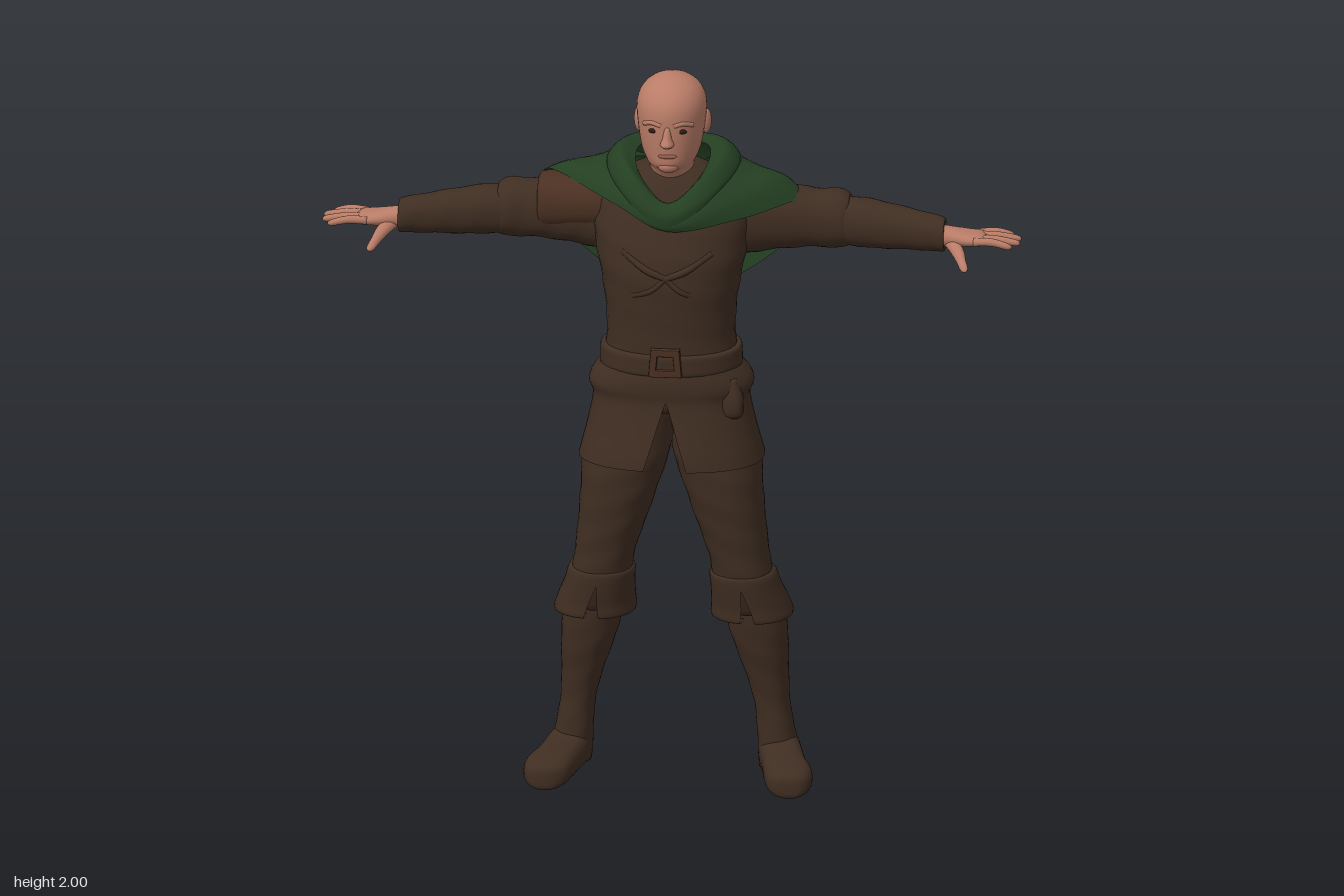
import * as THREE from 'three';
import { mergeVertices } from 'three/addons/utils/BufferGeometryUtils.js';

const mat = (name, color, side = THREE.FrontSide) => {
  const m = new THREE.MeshStandardMaterial({ color, side });
  m.name = name;
  return m;
};
const brown = mat('brown cloth', 0x402e22);
const brownOpen = mat('brown open cloth', 0x402e22, THREE.DoubleSide);
const leather = mat('russet leather', 0x4a3022);
const green = mat('green wool', 0x243f22, THREE.DoubleSide);
const skin = mat('skin', 0xb97c67);
const lipTone = mat('lips', 0x99604f);
const dark = mat('dark eye', 0x2a1d18);

// Catmull-Rom refinement of a list of equal-length number rows
function refine(rows, sub = 4) {
  const out = [], at = i => rows[Math.min(Math.max(i, 0), rows.length - 1)];
  for (let i = 0; i < rows.length - 1; i++) for (let k = 0; k < sub; k++) {
    const t = k / sub;
    out.push(rows[i].map((p1, c) => {
      const p0 = at(i - 1)[c], p2 = at(i + 1)[c], p3 = at(i + 2)[c];
      return p1 + 0.5 * t * (p2 - p0 + t * (2 * p0 - 5 * p1 + 4 * p2 - p3 + t * (3 * (p1 - p2) + p3 - p0)));
    }));
  }
  out.push(at(rows.length - 1));
  return out;
}

// Smooth skin over a grid of points, turned to face outward
function skinGrid(grid, caps) {
  const n = grid[0].length, pos = grid.flat(2), tris = [];
  for (let i = 0; i < grid.length - 1; i++) for (let j = 0; j < n - 1; j++) {
    const a = i * n + j, b = a + n;
    tris.push([a, b, a + 1], [a + 1, b, b + 1]);
  }
  if (caps) [0, grid.length - 1].forEach(r => {
    const c = [0, 1, 2].map(k => grid[r].slice(1).reduce((s, p) => s + p[k], 0) / (n - 1));
    const ci = pos.length / 3;
    pos.push(...c);
    for (let j = 0; j < n - 1; j++) {
      const a = r * n + j;
      tris.push(r ? [a, ci, a + 1] : [a, a + 1, ci]);
    }
  });
  const P = i => new THREE.Vector3(pos[3 * i], pos[3 * i + 1] - 1, pos[3 * i + 2]);
  const vol = tris.reduce((s, [a, b, c]) => s + P(a).dot(P(b).cross(P(c))), 0);
  if (vol < 0) tris.forEach(t => t.reverse());
  let g = new THREE.BufferGeometry();
  g.setAttribute('position', new THREE.Float32BufferAttribute(pos, 3));
  g.setIndex(tris.flat());
  g = mergeVertices(g, 1e-5);
  g.computeVertexNormals();
  return g;
}

// Rows [t, centreA, centreB, radiusA, radiusB] along an axis; gap opens a slit at the front
function loft(rows, { axis = 'y', s = 1, n = 36, pow = 2.2, wrinkle = 0, gap = () => 0, caps = true } = {}) {
  const se = v => Math.sign(v) * Math.abs(v) ** (2 / pow);
  return skinGrid(refine(rows).map(([t, a, b, ra, rb]) => {
    const g = gap(t);
    return Array.from({ length: n + 1 }, (_, j) => {
      const th = Math.PI / 2 + g + (j / n) * (2 * Math.PI - 2 * g);
      const w = 1 + wrinkle * Math.sin(t * 70 + 2 * Math.sin(th) + 3 * Math.cos(th));
      const u = a + ra * w * se(Math.cos(th)), v = b + rb * w * se(Math.sin(th));
      const p = axis === 'y' ? [u, t, v] : axis === 'x' ? [t, u, v] : [u, v, t];
      return [p[0] * s, Math.max(0, p[1]), p[2]];
    });
  }), caps);
}

// Cloth through closed rings of points, from the neck outward
function drape(rings) {
  const curves = rings.map(r => new THREE.CatmullRomCurve3(r.map(p => new THREE.Vector3(...p)), true)
    .getPoints(64).map(p => p.toArray()).flat());
  return skinGrid(refine(curves, 5).map(f => Array.from({ length: 65 }, (_, i) => f.slice(3 * i, 3 * i + 3))), false);
}
// Completes a half ring (front to back on the left) with its right half
const mirrorRing = h => [...h, ...h.slice(1, -1).reverse().map(([x, y, z]) => [-x, y, z])];

export function createModel() {
  const model = new THREE.Group();
  const add = (name, geo, m, parent = model) => {
    const mesh = new THREE.Mesh(geo, m);
    mesh.name = name;
    parent.add(mesh);
    return mesh;
  };
  const ball = (name, m, p, r, parent = model) => {
    const b = add(name, new THREE.SphereGeometry(1, 16, 12), m, parent);
    b.position.set(...p);
    b.scale.set(...r);
    return b;
  };
  const tube = (name, m, pts, r, parent = model) => add(name, new THREE.TubeGeometry(
    new THREE.CatmullRomCurve3(pts.map(p => new THREE.Vector3(...p))), 12, r, 8), m, parent);

  // Head and face
  const head = new THREE.Group();
  head.name = 'head';
  model.add(head);
  add('skull', loft([[1.62, 0, .025, .062, .07], [1.7, 0, .022, .06, .068], [1.745, 0, .035, .06, .082],
    [1.765, 0, .045, .066, .1], [1.8, 0, .045, .08, .105], [1.86, 0, .042, .09, .112], [1.92, 0, .038, .094, .113],
    [1.96, 0, .036, .08, .093], [1.985, 0, .034, .053, .06], [1.997, 0, .034, .022, .025], [2, 0, .034, .002, .002]],
  { pow: 2 }), skin, head);
  add('nose', loft([[1.822, 0, .15, .008, .012], [1.832, 0, .155, .019, .024], [1.85, 0, .15, .013, .02],
    [1.88, 0, .142, .009, .014]], { n: 16, pow: 2 }), skin, head);
  ball('chin', skin, [0, 1.765, .125], [.03, .02, .024], head);
  ball('lips', lipTone, [0, 1.797, .146], [.026, .007, .007], head);
  for (const s of [1, -1]) {
    ball('eye', dark, [s * .038, 1.867, .141], [.014, .007, .006], head);
    tube('brow', skin, [[s * .016, 1.884, .15], [s * .04, 1.889, .141], [s * .065, 1.881, .12]], .007, head);
    ball('ear', skin, [s * .092, 1.86, .02], [.012, .034, .02], head).rotation.y = s * -.3;
  }

  // Tunic body
  add('tunic', loft([[1.08, 0, .045, .19, .135], [1.2, 0, .05, .18, .133], [1.3, 0, .05, .173, .136],
    [1.4, 0, .047, .182, .148], [1.47, 0, .043, .195, .153], [1.54, 0, .033, .208, .15], [1.61, 0, .02, .212, .14],
    [1.67, 0, .01, .2, .12], [1.72, 0, .01, .12, .09], [1.74, 0, .01, .07, .07]], { wrinkle: .008 }), brown);
  for (const s of [1, -1]) {
    tube('chestFold', brown, [[0, 1.465, .19], [s * .05, 1.485, .19], [s * .12, 1.53, .155]], .01);
    tube('chestFold', brown, [[0, 1.465, .19], [s * .04, 1.43, .19], [s * .09, 1.41, .173]], .009);
  }
  // Skirt of the tunic, slit at the front
  add('tunicSkirt', loft([[1.2, 0, .05, .183, .137], [1.165, 0, .045, .212, .148], [1.135, 0, .043, .222, .15],
    [1.1, 0, .042, .211, .148], [1.02, 0, .04, .226, .164], [.96, 0, .038, .241, .178], [.925, 0, .035, .25, .185]],
  { caps: false, pow: 2.4, n: 56, gap: t => Math.max(0, 1.11 - t) * .95 }), brownOpen);

  // Belt, buckle and pouches
  add('belt', loft([[1.185, 0, .05, .182, .136], [1.19, 0, .05, .192, .145], [1.215, 0, .05, .192, .146],
    [1.24, 0, .05, .19, .145], [1.245, 0, .05, .178, .135]], {}), brown);
  const frame = new THREE.Shape([[-.042, -.036], [.042, -.036], [.036, .036], [-.036, .036]].map(p => new THREE.Vector2(...p)));
  frame.holes.push(new THREE.Path([[-.028, -.022], [-.024, .022], [.024, .022], [.028, -.022]].map(p => new THREE.Vector2(...p))));
  add('buckle', new THREE.ExtrudeGeometry(frame, { depth: .014, bevelSize: .003, bevelThickness: .003, bevelSegments: 2 }), leather)
    .position.set(0, 1.228, .19);
  add('beltPouch', loft([[1.06, .17, .125, .025, .022], [1.075, .17, .125, .034, .034], [1.12, .168, .125, .034, .034],
    [1.17, .16, .12, .025, .025]], { n: 20, pow: 3 }), brown);

  for (const s of [1, -1]) {
    const side = s > 0 ? 'left' : 'right';
    // Arm: sleeve, bracer, hand
    const arm = new THREE.Group();
    arm.name = side + 'Arm';
    model.add(arm);
    add('upperSleeve', loft([[.08, 1.57, -.01, .09, .09], [.18, 1.58, -.02, .1, .095], [.28, 1.583, -.028, .09, .08],
      [.38, 1.582, -.03, .08, .067], [.45, 1.582, -.027, .08, .066], [.475, 1.58, -.025, .07, .057]],
    { axis: 'x', s, wrinkle: .02 }), brown, arm);
    add('forearmSleeve', loft([[.44, 1.58, -.025, .066, .057], [.53, 1.576, -.012, .066, .06], [.62, 1.572, .005, .058, .053],
      [.7, 1.568, .022, .05, .046], [.735, 1.565, .03, .046, .043], [.737, 1.565, .03, .034, .034]],
    { axis: 'x', s, wrinkle: .018 }), brown, arm);
    add('palm', loft([[.71, 1.565, .032, .03, .032], [.75, 1.564, .036, .026, .036], [.8, 1.562, .038, .02, .047],
      [.835, 1.561, .038, .016, .049], [.85, 1.56, .038, .01, .045]], { axis: 'x', s, n: 24 }), skin, arm);
    [[-.004, -.018, .92], [.024, .016, .943], [.052, .055, .943], [.077, .09, .925]].forEach(([z0, z1, tip], i) =>
      add('finger', loft([[.82, 1.562, z0, .011, .011], [.87, 1.565, z0 + (z1 - z0) * .5, .011, .011],
        [tip - .012, 1.557, z1, .009, .009], [tip, 1.555, z1, .002, .002]], { axis: 'x', s, n: 12, pow: 2 }), skin, arm));
    add('thumb', loft([[.045, .75, 1.555, .02, .018], [.085, .775, 1.54, .019, .016], [.125, .792, 1.522, .013, .013],
      [.15, .802, 1.51, .011, .01], [.16, .805, 1.506, .003, .003]], { axis: 'z', s, n: 14, pow: 2 }), skin, arm);

    // Leg: trousers, boot cuff, boot and foot
    const leg = new THREE.Group();
    leg.name = side + 'Leg';
    model.add(leg);
    add('trouserLeg', loft([[1.09, .1, .04, .095, .11], [.95, .12, .035, .118, .116], [.85, .138, .035, .107, .115],
      [.75, .158, .032, .094, .106], [.65, .18, .028, .082, .096], [.57, .193, .022, .08, .092], [.48, .21, 0, .075, .08]],
    { s, wrinkle: .012 }), brown, leg);
    add('bootCuff', loft([[.6, .19, .024, .078, .09], [.59, .191, .022, .09, .1], [.55, .198, .012, .095, .106],
      [.5, .208, -.006, .105, .116], [.465, .212, -.013, .11, .12], [.47, .212, -.015, .085, .09]],
    { s, caps: false, gap: t => Math.max(0, .56 - t) * 1.6 }), brownOpen, leg);
    add('boot', loft([[.52, .213, -.015, .075, .085], [.43, .224, -.03, .079, .088], [.36, .236, -.036, .071, .08],
      [.28, .25, -.043, .057, .068], [.2, .262, -.048, .048, .062], [.13, .271, -.05, .05, .064],
      [.06, .28, -.052, .056, .064], [.02, .282, -.052, .056, .062]], { s, wrinkle: .01 }), brown, leg);
    add('foot', loft([[-.117, .28, .04, .03, .035], [-.1, .28, .05, .05, .05], [-.03, .286, .056, .058, .056],
      [.04, .303, .048, .06, .048], [.11, .322, .043, .066, .043], [.16, .328, .038, .058, .038],
      [.184, .33, .033, .036, .031], [.19, .33, .03, .012, .014]], { axis: 'z', s, pow: 2.7 }), brown, leg);
  }

  // Bare shoulder piece on the right, where the cape is thrown back
  add('rightShoulderCap', loft([[.12, 1.63, -.005, .085, .1], [.2, 1.622, -.012, .08, .095], [.28, 1.614, -.018, .076, .085],
    [.35, 1.61, -.02, .076, .074], [.365, 1.61, -.02, .066, .06]], { axis: 'x', s: -1 }), leather);

  // Cape: front, front left, left, back left, back, back right, right, front right
  add('cape', drape([
    [[0, 1.66, .13], [.09, 1.72, .1], [.13, 1.76, .01], [.1, 1.77, -.09], [0, 1.77, -.12], [-.1, 1.77, -.09], [-.13, 1.76, .01], [-.09, 1.72, .1]],
    [[0, 1.63, .175], [.13, 1.69, .12], [.21, 1.725, -.01], [.16, 1.7, -.14], [0, 1.65, -.17], [-.16, 1.7, -.14], [-.21, 1.73, -.04], [-.12, 1.69, .12]],
    [[0, 1.61, .185], [.17, 1.66, .125], [.3, 1.7, -.02], [.25, 1.6, -.145], [0, 1.48, -.165], [-.25, 1.6, -.145], [-.3, 1.705, -.065], [-.14, 1.675, .125]],
    [[0, 1.595, .18], [.2, 1.62, .12], [.365, 1.635, -.02], [.275, 1.46, -.125], [0, 1.31, -.155], [-.275, 1.46, -.125], [-.36, 1.67, -.085], [-.15, 1.655, .13]],
  ]), green);
  // Rolled collar and the hood lying pointed on the back
  add('collar', drape([
    [[0, 1.655, .125], [.07, 1.71, .1], [.1, 1.755, .02], [.08, 1.765, -.07], [0, 1.76, -.1]],
    [[0, 1.665, .155], [.1, 1.735, .11], [.145, 1.775, .01], [.11, 1.78, -.1], [0, 1.775, -.13]],
    [[0, 1.64, .185], [.125, 1.7, .125], [.18, 1.74, 0], [.14, 1.74, -.13], [0, 1.73, -.185]],
    [[0, 1.605, .185], [.11, 1.66, .14], [.17, 1.7, 0], [.13, 1.7, -.125], [0, 1.69, -.17]],
  ].map(mirrorRing)), green);
  add('hood', drape([
    [[0, 1.7, .1], [.1, 1.73, .06], [.13, 1.75, -.02], [.1, 1.755, -.1], [0, 1.75, -.15]],
    [[0, 1.69, .11], [.13, 1.72, .06], [.175, 1.73, -.04], [.12, 1.7, -.155], [0, 1.665, -.212]],
    [[0, 1.68, .1], [.13, 1.7, .05], [.175, 1.7, -.05], [.115, 1.64, -.16], [0, 1.58, -.195]],
    [[0, 1.68, .09], [.12, 1.69, .04], [.16, 1.68, -.05], [.1, 1.63, -.14], [0, 1.57, -.165]],
  ].map(mirrorRing)), green);
  return model;
}
